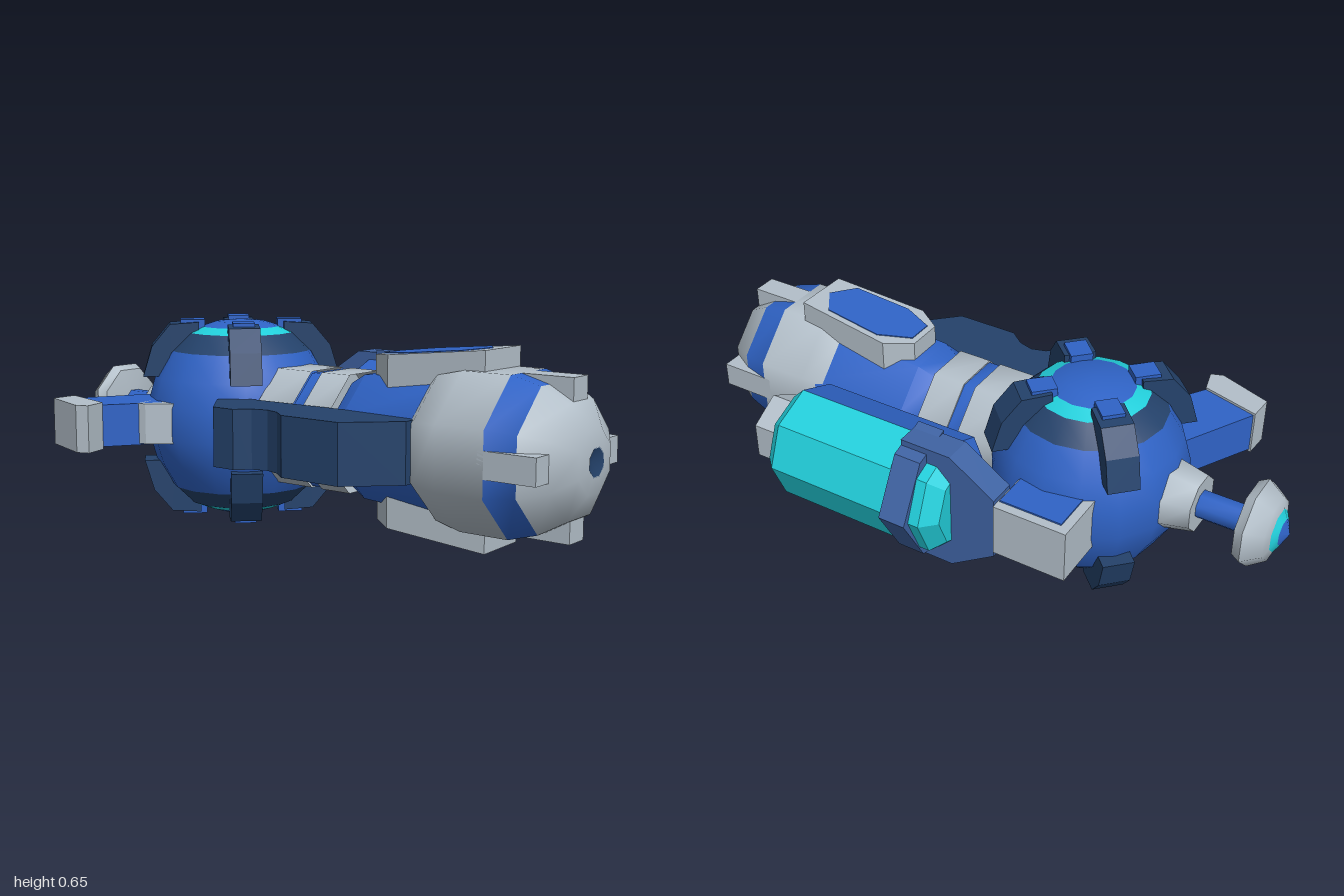
import * as THREE from 'three';
import { toCreasedNormals, mergeVertices } from 'three/addons/utils/BufferGeometryUtils.js';

const CY = 0.335; // height of the main axis

function material(name, color) {
  const m = new THREE.MeshStandardMaterial({ color, side: THREE.DoubleSide });
  m.name = name;
  return m;
}

export function createModel() {
  const model = new THREE.Group();
  model.name = 'blaster';
  const blue = material('blue', 0x2f63c6);
  const navy = material('navy', 0x24426b);
  const grey = material('lightGrey', 0xb3bfc9);
  const cyan = material('cyan', 0x22cfdb);
  const slate = material('slateBlue', 0x3f63a3);
  const deep = material('deepBlue', 0x0a36d8);

  const add = (name, geometry, mat, parent = model) => {
    const mesh = new THREE.Mesh(geometry, mat);
    mesh.name = name;
    parent.add(mesh);
    return mesh;
  };
  const box = (name, mat, x0, x1, y0, y1, z0, z1, parent) =>
    add(name, new THREE.BoxGeometry(x1 - x0, y1 - y0, z1 - z0)
      .translate((x0 + x1) / 2, (y0 + y1) / 2, (z0 + z1) / 2), mat, parent);
  const crease = (g, a = 0.85) => toCreasedNormals(g, a);

  // Turned part along x; points are [x, radius to the flats]
  const turned = (name, mat, points, z = 0, sides = 8, flatTop = true) => {
    const k = flatTop ? 1 / Math.cos(Math.PI / sides) : 1;
    const g = new THREE.LatheGeometry(points.map(([x, r]) => new THREE.Vector2(r * k, x)),
      sides, flatTop ? Math.PI / sides : 0);
    g.rotateZ(-Math.PI / 2).translate(0, CY, z);
    return add(name, crease(g), mat);
  };
  // Outline in the x-z plane, extruded upward from y0 to y1
  const slab = (name, mat, outline, y0, y1) => {
    const shape = new THREE.Shape(outline.map(([x, z]) => new THREE.Vector2(x, -z)));
    const g = new THREE.ExtrudeGeometry(shape, { depth: y1 - y0, bevelEnabled: false });
    g.rotateX(-Math.PI / 2).translate(0, y0, 0);
    return add(name, g, mat);
  };

  // Round chamber with coloured rings, mirrored at top and bottom
  const chamber = new THREE.Group();
  chamber.name = 'chamber';
  chamber.position.set(-0.34, CY, 0);
  model.add(chamber);
  const ring = (name, mat, pts, parent) => add(name, crease(new THREE.LatheGeometry(
    pts.map(([r, y]) => new THREE.Vector2(r, y)), 16)), mat, parent);
  ring('chamberBody', blue, [[0.235, -0.225], [0.285, -0.14], [0.31, -0.05],
    [0.31, 0.05], [0.285, 0.14], [0.235, 0.225]], chamber);
  for (const s of [1, -1]) {
    const cap = new THREE.Group();
    cap.name = s > 0 ? 'topCap' : 'bottomCap';
    if (s < 0) cap.rotation.x = Math.PI;
    chamber.add(cap);
    ring('darkRing', navy, [[0.235, 0.225], [0.175, 0.283]], cap);
    ring('glowRing', cyan, [[0.175, 0.283], [0.13, 0.302]], cap);
    ring('capDisc', blue, [[0.13, 0.302], [0.08, 0.318], [0, 0.325]], cap);
    const profile = new THREE.Shape([[0.14, 0.27], [0.14, 0.318], [0.235, 0.312], [0.295, 0.24],
      [0.325, 0.14], [0.27, 0.14], [0.23, 0.22]].map(([x, y]) => new THREE.Vector2(x, y)));
    for (let i = 0; i < 4; i++) {
      const claw = new THREE.Group();
      claw.name = 'claw';
      claw.rotation.y = Math.PI / 4 + i * Math.PI / 2;
      cap.add(claw);
      add('clawArm', new THREE.ExtrudeGeometry(profile, { depth: 0.1, bevelEnabled: false })
        .translate(0, 0, -0.05), navy, claw);
      box('clawTip', blue, 0.12, 0.2, 0.28, 0.326, -0.035, 0.035, claw);
    }
  }

  // Neck bands and barrel
  turned('neckRear', grey, [[-0.1, 0.185], [0.04, 0.185]], 0.015);
  turned('neckStripe', blue, [[0.04, 0.18], [0.08, 0.18]], 0.015);
  turned('neckFront', grey, [[0.08, 0], [0.08, 0.185], [0.19, 0.185]], 0.015);
  turned('barrel', blue, [[0.19, 0.16], [0.25, 0.192], [0.62, 0.212]], 0.015);

  // Muzzle with a coloured band, ribs and bore
  turned('muzzleSleeve', grey, [[0.5, 0.19], [0.53, 0.215], [0.62, 0.235], [0.78, 0.235]], 0.03);
  turned('muzzleBand', blue, [[0.78, 0.235], [0.87, 0.21]], 0.03);
  turned('muzzleNose', grey, [[0.87, 0.21], [0.95, 0.165], [0.995, 0.09], [1.0, 0.04]], 0.03);
  turned('bore', navy, [[1.0, 0.042], [0.985, 0]], 0.03);
  for (let i = 0; i < 4; i++) {
    const rib = box('muzzleRib', grey, 0.76, 0.945, 0.14, 0.235, -0.04, 0.04);
    rib.position.set(0, CY, 0.03);
    rib.rotation.x = i * Math.PI / 2;
  }

  // Sloping fins above and below the barrel
  const finOutline = [[0.28, -0.04], [0.36, -0.1], [0.69, -0.075], [0.685, 0.11],
    [0.36, 0.13], [0.28, 0.08]];
  const inlay = [[0.3, -0.02], [0.4, -0.075], [0.6, -0.06], [0.655, 0.02],
    [0.6, 0.1], [0.4, 0.105], [0.3, 0.065]];
  for (const s of [1, -1]) {
    const pair = [slab('fin', grey, finOutline, 0.13, 0.255), slab('finInlay', blue, inlay, 0.255, 0.258)];
    for (const part of pair) {
      const p = part.geometry.attributes.position;
      for (let i = 0; i < p.count; i++) {
        if (p.getY(i) > 0.2) p.setY(i, p.getY(i) + (p.getX(i) - 0.28) * 0.1);
      }
      part.geometry.computeVertexNormals();
      part.position.y = CY;
      if (s < 0) {
        part.rotation.x = Math.PI;
        part.position.z = 0.03;
      }
    }
  }

  // Side guard
  slab('sideGuard', navy, [[-0.21, 0.2], [-0.2, 0.27], [-0.1, 0.395], [-0.02, 0.395], [0.02, 0.355],
    [0.07, 0.34], [0.12, 0.355], [0.17, 0.395], [0.38, 0.395], [0.52, 0.26], [0.52, 0.18]], 0.245, 0.43);

  // Angled grip
  slab('grip', blue, [[-0.58, 0.17], [-0.71, 0.41], [-0.52, 0.462], [-0.38, 0.25]], 0.27, 0.405);
  slab('gripEnd', grey, [[-0.715, 0.405], [-0.72, 0.49], [-0.54, 0.555], [-0.5, 0.54], [-0.52, 0.46]], 0.262, 0.413);
  slab('gripCollar', grey, [[-0.48, 0.25], [-0.46, 0.365], [-0.43, 0.36], [-0.36, 0.3], [-0.36, 0.25]], 0.275, 0.405);

  // Plunger at the rear
  turned('plungerCollar', grey, [[-0.72, 0], [-0.72, 0.085], [-0.62, 0.105], [-0.6, 0]]);
  turned('plungerRod', blue, [[-0.88, 0.042], [-0.7, 0.042]]);
  turned('plungerKnob', grey, [[-0.965, 0.065], [-0.955, 0.095], [-0.9, 0.13], [-0.87, 0.115],
    [-0.855, 0.04], [-0.855, 0]], 0.005);
  turned('plungerTipRing', cyan, [[-0.98, 0.04], [-0.965, 0.065]], 0.005);
  turned('plungerTip', blue, [[-1.0, 0], [-0.98, 0.04]], 0.005);

  // Rear mount and bracket holding the tank
  slab('mount', grey, [[-0.49, -0.2], [-0.49, -0.43], [-0.25, -0.43], [-0.25, -0.2]], 0.25, 0.425);
  slab('mountPlate', blue, [[-0.46, -0.2], [-0.46, -0.4], [-0.255, -0.4], [-0.255, -0.2]], 0.425, 0.43);
  const arm = new THREE.Shape([[-0.25, 0.23], [0.07, 0.13], [0.07, 0.54], [-0.25, 0.44]]
    .map(([x, y]) => new THREE.Vector2(x, y)));
  arm.curves.length = 0;
  arm.setFromPoints([[-0.25, 0.23], [-0.1, 0.13], [0.07, 0.13], [0.07, 0.54], [-0.1, 0.54], [-0.25, 0.44]]
    .map(([x, y]) => new THREE.Vector2(x, y)));
  add('bracketArm', new THREE.ExtrudeGeometry(arm, { depth: 0.09, bevelEnabled: false })
    .translate(0, 0, -0.425), slate);
  const clamp = new THREE.Shape([[0.33, 0.125], [0.46, 0.16], [0.557, 0.335], [0.46, 0.51], [0.33, 0.548]]
    .map(([z, y]) => new THREE.Vector2(z, y)));
  add('tankClamp', new THREE.ExtrudeGeometry(clamp, { depth: 0.09, bevelEnabled: false })
    .rotateY(Math.PI / 2).translate(-0.02, 0, 0), slate);

  // Tank: one strip per side so that the inner sides take other colours
  const tankProfile = [[-0.1, 0], [-0.1, 0.14], [-0.055, 0.185], [0.49, 0.185], [0.53, 0.145], [0.53, 0]];
  const sideColours = [deep, deep, cyan, cyan, cyan, cyan, cyan, blue];
  for (let i = 0; i < 8; i++) {
    // side 0 starts at +z and the sides run downward
    const g = new THREE.LatheGeometry(tankProfile.map(([x, r]) => new THREE.Vector2(r, x)),
      1, i * Math.PI / 4, Math.PI / 4);
    g.rotateZ(-Math.PI / 2).translate(0, CY, -0.35);
    const mat = i === 0 || i === 7 ? deep : i === 6 ? blue : sideColours[2];
    add('tankSide', crease(mergeVertices(g), 0.3), mat);
  }
  turned('tankCap', grey, [[0.52, 0.1], [0.62, 0.1], [0.625, 0.08]], -0.345, 6);
  turned('tankCapFace', blue, [[0.625, 0.08], [0.625, 0]], -0.345, 6);
  return model;
}
